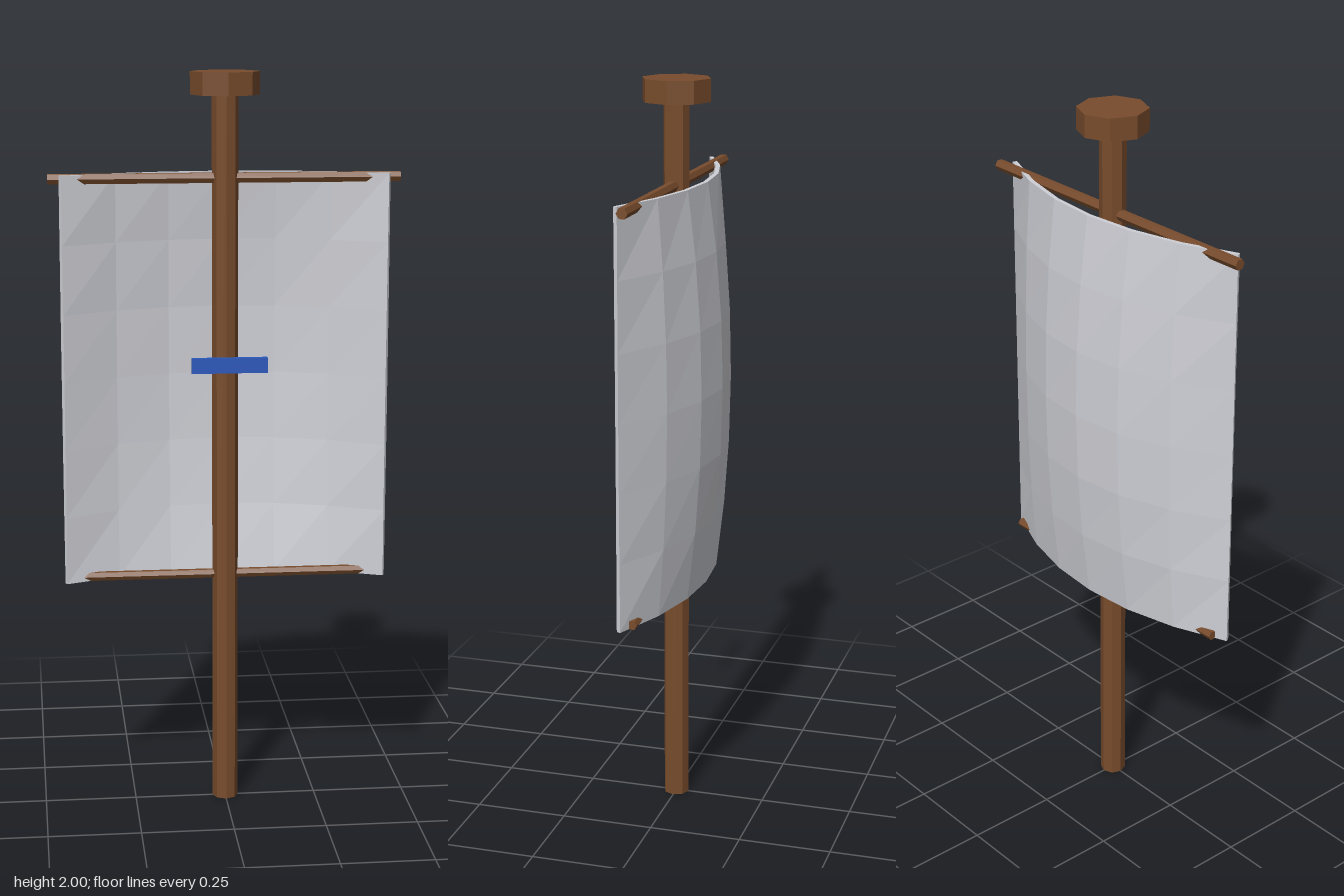
import * as THREE from 'three';

export function createModel() {
  const group = new THREE.Group();
  const material = (name, color) => {
    const m = new THREE.MeshStandardMaterial({ color, flatShading: true });
    m.name = name;
    return m;
  };
  const wood = material('brown wood', 0x784c2c);
  const cloth = material('grey cloth', 0xcfd0d6);
  const blue = material('blue', 0x2a58bc);

  const add = (name, geometry, mat, x, y, z) => {
    const mesh = new THREE.Mesh(geometry, mat);
    mesh.name = name;
    mesh.position.set(x, y, z);
    group.add(mesh);
    return mesh;
  };

  // Mast and its octagonal cap
  add('mast', new THREE.CylinderGeometry(0.035, 0.035, 1.95, 8), wood, 0, 0.975, 0);
  add('mastCap', new THREE.CylinderGeometry(0.092, 0.092, 0.06, 8), wood, 0, 1.97, 0);

  // Horizontal yards, six-sided
  const addYard = (name, radius, length, y) => {
    const yard = new THREE.CylinderGeometry(radius, radius, length, 6).rotateZ(Math.PI / 2);
    add(name, yard, wood, 0, y, 0);
  };
  addYard('upperYard', 0.015, 0.932, 1.724);
  addYard('lowerYard', 0.013, 0.81, 0.646);

  // Billowing sail: a thin slab bowed backwards, deepest at mid height
  const halfW = 0.434, height = 1.1, thickness = 0.012;
  const sail = new THREE.BoxGeometry(halfW * 2, height, thickness, 6, 6, 1);
  const p = sail.attributes.position;
  for (let i = 0; i < p.count; i++) {
    const u = p.getX(i) / halfW;
    const v = p.getY(i) / (height / 2);
    const side = p.getZ(i);
    const bow = 0.149 - 0.043 * v * v;
    const slope = 2 * bow * u / halfW;
    const n = Math.hypot(1, slope);
    p.setX(i, u * halfW - side * slope / n);
    p.setZ(i, 0.027 - bow * (1 - u * u) + side / n);
  }
  sail.computeVertexNormals();
  add('sail', sail, cloth, 0, 1.185, 0);

  // Small bar in front of the mast
  add('frontBar', new THREE.BoxGeometry(0.2, 0.04, 0.016), blue, 0, 1.245, 0.12);

  return group;
}
